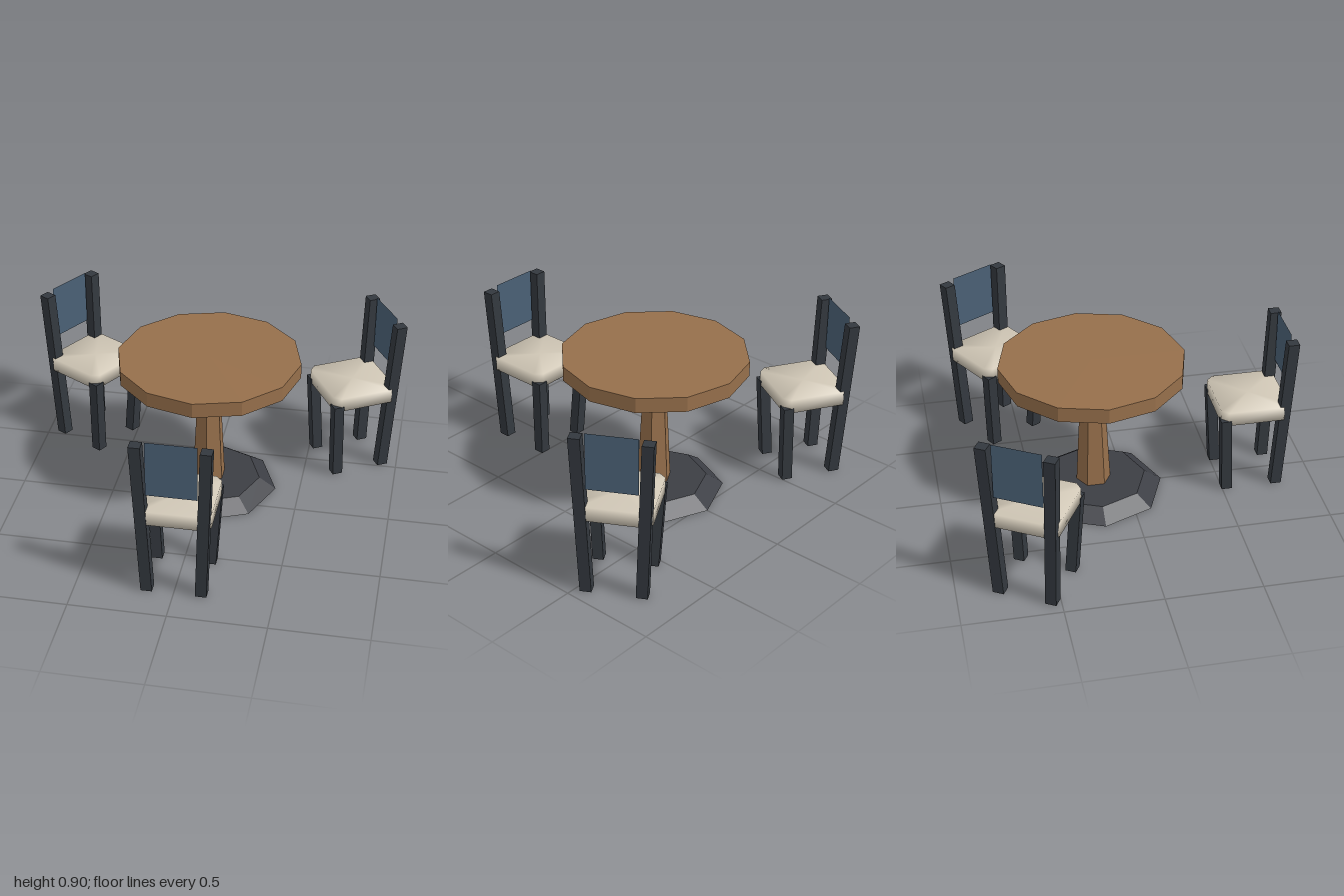
import * as THREE from 'three';
import { mergeVertices } from 'three/addons/utils/BufferGeometryUtils.js';

const flat = (color) => new THREE.MeshStandardMaterial({ color, flatShading: true });
const wood = flat(0x966f4b);
const iron = flat(0x3c3e44);
const legPaint = flat(0x33383e);
const cushion = new THREE.MeshStandardMaterial({ color: 0xcfc6b5 });
const panel = new THREE.MeshStandardMaterial({ color: 0x4a6075, side: THREE.DoubleSide });

const TABLE_Z = -0.175;   // table centre; chairs are spaced around it
const CHAIR_RADIUS = 0.837;

function add(parent, name, geometry, material, x = 0, y = 0, z = 0) {
  const mesh = new THREE.Mesh(geometry, material);
  mesh.name = name;
  mesh.position.set(x, y, z);
  parent.add(mesh);
  return mesh;
}

// Square bar running from point a to point b, with level ends
function slantedBar(a, b, width) {
  const g = new THREE.BoxGeometry(width, 1, width);
  const p = g.attributes.position;
  for (let i = 0; i < p.count; i++) {
    const t = p.getY(i) + 0.5;
    p.setXYZ(i,
      p.getX(i) + THREE.MathUtils.lerp(a[0], b[0], t),
      THREE.MathUtils.lerp(a[1], b[1], t),
      p.getZ(i) + THREE.MathUtils.lerp(a[2], b[2], t));
  }
  g.computeVertexNormals();
  return g;
}

// Softly shaded square cushion with clipped corners
function seatGeometry(halfX, halfZ, height, clip) {
  const g = new THREE.CylinderGeometry(1, 1, height, 8);
  g.rotateY(Math.PI / 8);
  const p = g.attributes.position;
  for (let i = 0; i < p.count; i++) {
    const x = p.getX(i), z = p.getZ(i);
    if (Math.hypot(x, z) < 0.01) continue;
    const wide = Math.abs(x) > Math.abs(z);
    p.setX(i, Math.sign(x) * (wide ? halfX : halfX - clip));
    p.setZ(i, Math.sign(z) * (wide ? halfZ - clip : halfZ));
  }
  g.deleteAttribute('uv');
  g.deleteAttribute('normal');
  const merged = mergeVertices(g, 1e-4);
  merged.computeVertexNormals();
  return merged;
}

function createTable() {
  const table = new THREE.Group();
  table.name = 'table';
  add(table, 'tableTop', new THREE.CylinderGeometry(0.487, 0.487, 0.08, 12), wood, 0, 0.76);
  add(table, 'topBlock', new THREE.BoxGeometry(0.18, 0.08, 0.18), wood, 0, 0.68);
  add(table, 'column', new THREE.CylinderGeometry(0.062, 0.092, 0.58, 6), wood, 0, 0.35);
  add(table, 'tableBase', new THREE.CylinderGeometry(0.28, 0.37, 0.063, 8), iron, 0, 0.0335);
  table.position.z = TABLE_Z;
  return table;
}

// Chair centred on its seat, with its back towards +z
function createChair() {
  const chair = new THREE.Group();
  chair.name = 'chair';
  add(chair, 'seat', seatGeometry(0.19, 0.182, 0.077, 0.035), cushion, 0, 0.462);
  for (const [side, s] of [['left', 1], ['right', -1]]) {
    add(chair, side + 'FrontLeg',
      slantedBar([s * 0.139, 0.003, -0.138], [s * 0.165, 0.45, -0.16], 0.056), legPaint);
    add(chair, side + 'BackPost',
      slantedBar([s * 0.138, 0.003, 0.134], [s * 0.172, 0.88, 0.178], 0.058), legPaint);
  }
  add(chair, 'backrest', new THREE.PlaneGeometry(0.254, 0.3), panel, 0, 0.75, 0.182);
  return chair;
}

export function createModel() {
  const model = new THREE.Group();
  model.name = 'tableWithChairs';
  model.add(createTable());
  // Three chairs evenly spaced around the table
  for (let i = 0; i < 3; i++) {
    const a = i * Math.PI * 2 / 3;
    const chair = createChair();
    chair.position.set(Math.sin(a) * CHAIR_RADIUS, 0, TABLE_Z + Math.cos(a) * CHAIR_RADIUS);
    chair.rotation.y = a;
    model.add(chair);
  }
  return model;
}
